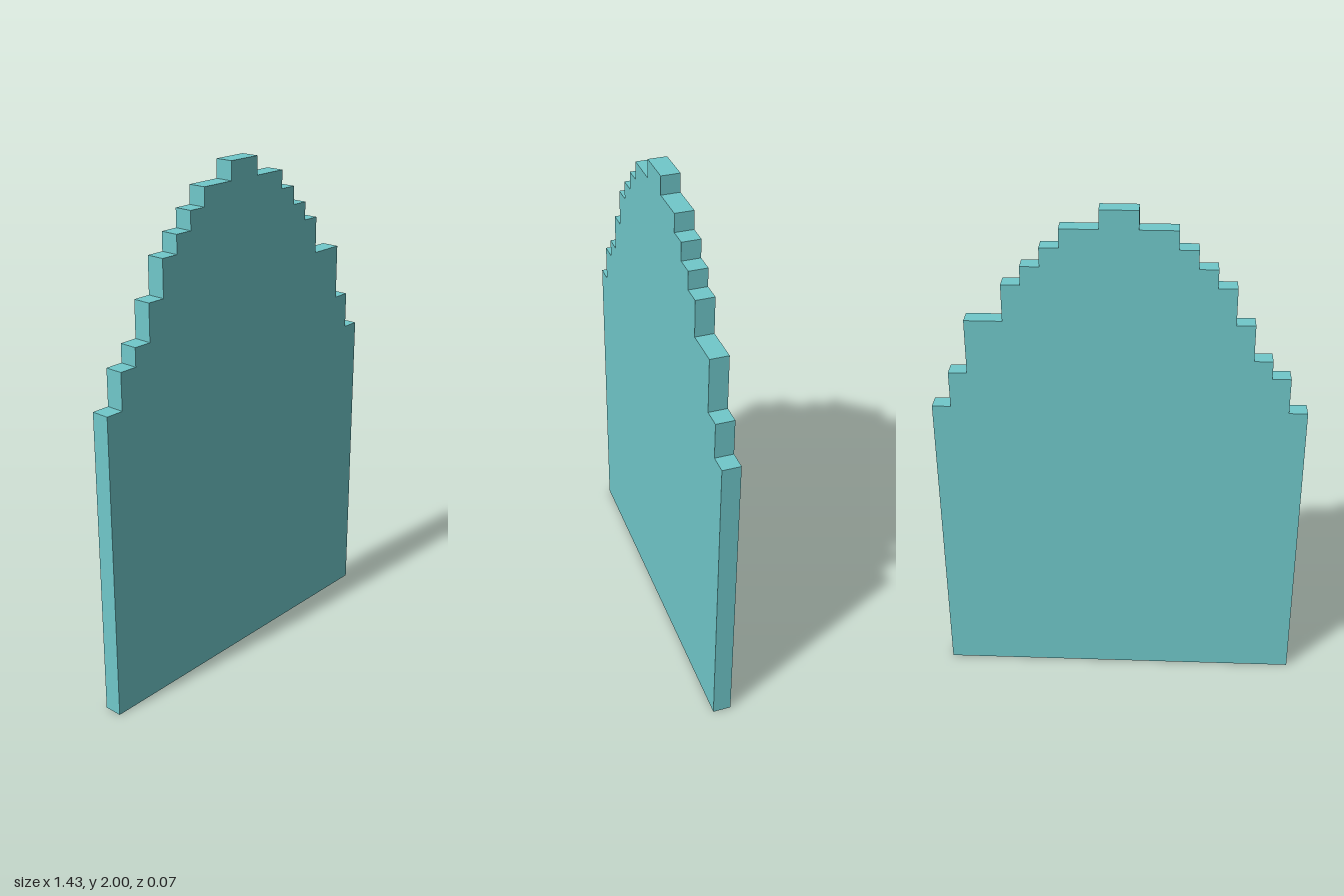
import * as THREE from 'three';

// Grid cell: the panel is 28 cells tall, 20 wide and 1 thick
const CELL = 1 / 14;

// Steps of the top edge from -x to +x: [right end, height] in cells
const STEPS = [
  [-9, 17], [-8, 19], [-7, 20], [-6, 22], [-5, 24], [-4, 25], [-3, 26], [-1, 27],
  [1, 28],
  [3, 27], [4, 26], [5, 25], [6, 24], [8, 22], [9, 19], [10, 17],
];

export function createModel() {
  const model = new THREE.Group();
  model.name = 'steppedArchPanel';

  const teal = new THREE.MeshStandardMaterial({ color: 0x70c8ca });
  teal.name = 'teal';

  // Stepped outline, traced across the top and closed along the base
  const outline = new THREE.Shape();
  outline.moveTo(-10 * CELL, 0);
  let x = -10;
  for (const [end, height] of STEPS) {
    outline.lineTo(x * CELL, height * CELL);
    outline.lineTo(end * CELL, height * CELL);
    x = end;
  }
  outline.lineTo(10 * CELL, 0);
  outline.closePath();

  // Flat slab with sharp edges
  const geometry = new THREE.ExtrudeGeometry(outline, { depth: CELL, bevelEnabled: false });
  geometry.translate(0, 0, -CELL / 2);
  const panel = new THREE.Mesh(geometry, teal);
  panel.name = 'panel';
  model.add(panel);

  return model;
}
